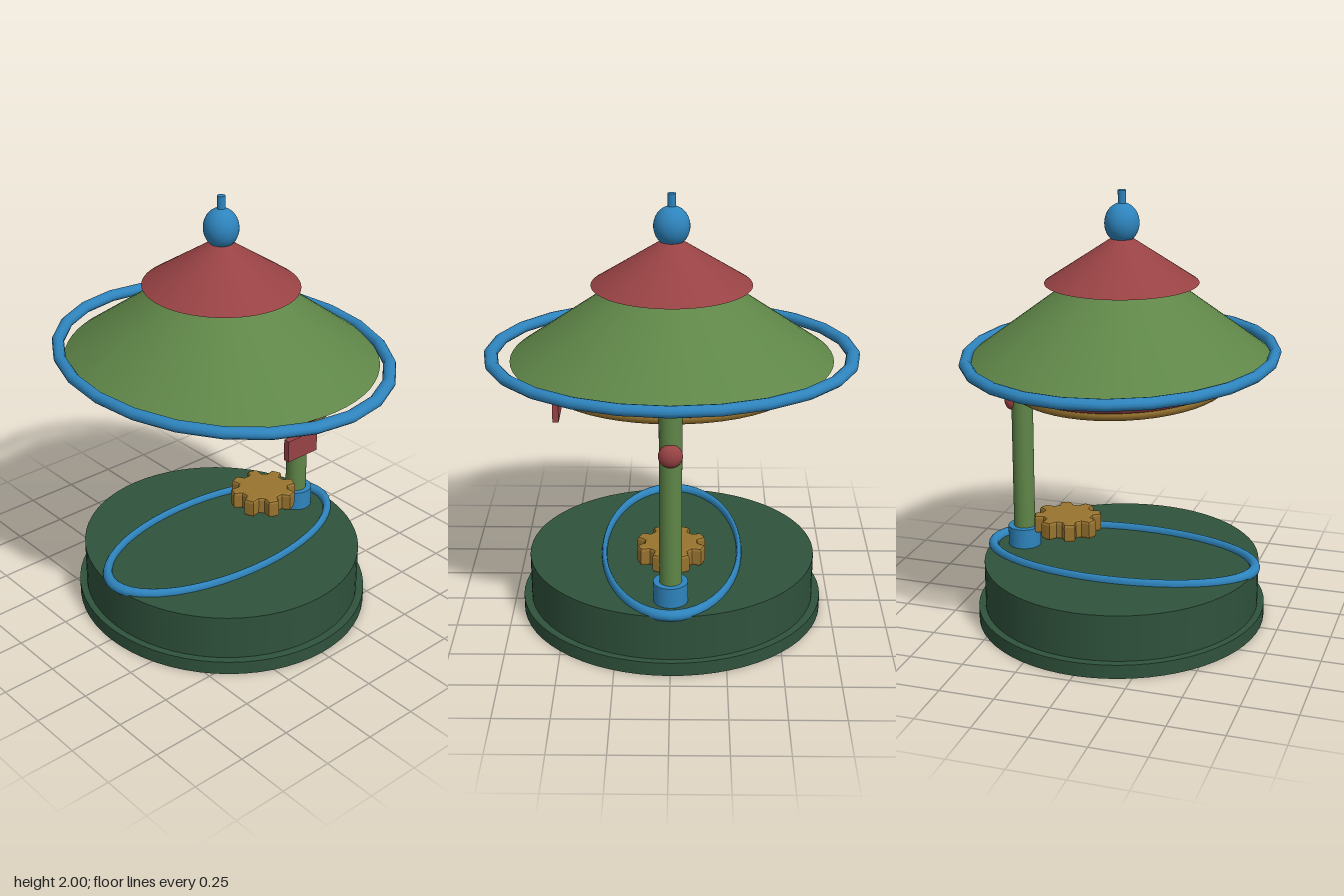
import * as THREE from 'three';

const paint = (name, color) => {
  const m = new THREE.MeshStandardMaterial({ color });
  m.name = name;
  return m;
};

export function createModel() {
  const model = new THREE.Group();
  model.name = 'gardenShelter';

  const darkGreen = paint('dark green', 0x2f523c);
  const green = paint('leaf green', 0x5f8648);
  const red = paint('brick red', 0x984244);
  const blue = paint('blue', 0x2e84bd);
  const gold = paint('gold', 0x98742f);

  const add = (name, geometry, material, x = 0, y = 0, z = 0) => {
    const mesh = new THREE.Mesh(geometry, material);
    mesh.name = name;
    mesh.position.set(x, y, z);
    model.add(mesh);
    return mesh;
  };

  // Upright elliptical drum or cone between two heights
  const drum = (name, material, y0, y1, rTop, rBottom, sx = 1, sz = 1, x = 0) => {
    const g = new THREE.CylinderGeometry(rTop, rBottom, y1 - y0, 64);
    g.scale(sx, 1, sz);
    return add(name, g, material, x, (y0 + y1) / 2);
  };

  // Flat-lying oval ring given by its outer half-widths
  const ring = (name, material, y, outerX, outerZ, tube, segments) => {
    const g = new THREE.TorusGeometry(outerX - tube, tube, 12, segments);
    g.rotateX(Math.PI / 2);
    g.scale(1, 1, outerZ / outerX);
    return add(name, g, material, 0, y);
  };

  // Base
  drum('baseFoot', darkGreen, 0, 0.065, 0.705, 0.705, 0.95, 1);
  drum('baseDrum', darkGreen, 0.065, 0.28, 0.668, 0.668, 0.957, 1);
  ring('baseRing', blue, 0.285, 0.66, 0.33, 0.025, 48);

  // Post with collar and knob
  drum('postCollar', blue, 0.28, 0.375, 0.077, 0.077, 1, 1, 0.487);
  drum('post', green, 0.3, 1.2, 0.05, 0.05, 1, 1, 0.487);
  const knob = add('postKnob', new THREE.SphereGeometry(0.053, 24, 16), red, 0.533, 1.0);
  knob.scale.x = 0.7;

  // Cog wheel: eight broad teeth separated by narrow slots
  const cog = new THREE.Shape();
  const bevel = 0.014, teeth = 8, slot = 0.2;
  const outer = 0.157 - bevel, inner = 0.122 - bevel;
  for (let i = 0; i < teeth; i++) {
    const a = Math.PI / 2 + (i / teeth) * Math.PI * 2;
    const step = (Math.PI * 2) / teeth;
    const corners = [[inner, -slot], [inner, slot], [outer, slot + 0.1],
      [outer, step / 2], [outer, step - slot - 0.1]];
    corners.forEach(([r, t], j) => {
      const x = r * Math.cos(a + t), y = r * Math.sin(a + t);
      if (i === 0 && j === 0) cog.moveTo(x, y);
      else cog.lineTo(x, y);
    });
  }
  cog.closePath();
  const cogGeometry = new THREE.ExtrudeGeometry(cog, {
    depth: 0.09 - 2 * bevel, bevelEnabled: true, bevelSize: bevel,
    bevelThickness: bevel, bevelSegments: 2,
  });
  cogGeometry.translate(0, 0, -(0.045 - bevel));
  cogGeometry.rotateX(Math.PI / 2);
  add('cogWheel', cogGeometry, gold, 0.268, 0.415);

  // Hanging sign
  add('sign', new THREE.BoxGeometry(0.168, 0.1, 0.028), red, 0, 1.01, 0.525);

  // Roof rings
  ring('lowerRoofRing', gold, 1.15, 0.496, 0.594, 0.03, 48);
  ring('upperRoofRing', red, 1.2, 0.53, 0.632, 0.04, 48);
  ring('eavesRing', blue, 1.266, 0.71, 0.845, 0.026, 24);

  // Roof cones
  drum('mainRoof', green, 1.25, 1.74, 0.036, 0.726, 0.95, 1);
  drum('roofCap', red, 1.59, 1.8, 0.03, 0.358, 0.96, 1);

  // Finial
  const ball = add('finialBall', new THREE.SphereGeometry(0.09, 32, 20), blue, 0, 1.855);
  ball.scale.set(0.86, 1, 0.9);
  drum('finialRod', blue, 1.9, 2.0, 0.018, 0.018);

  return model;
}
